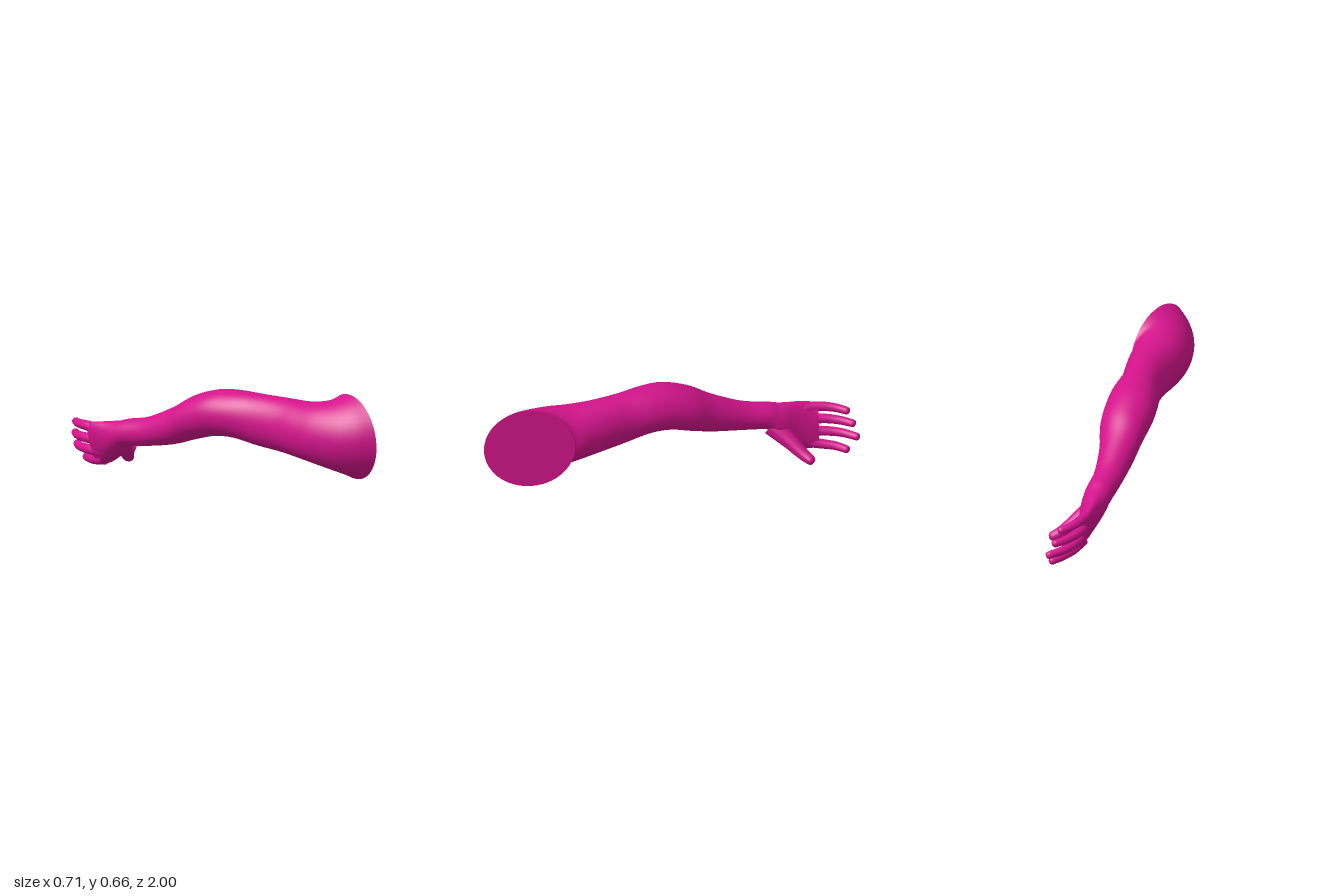
import * as THREE from 'three';

const skin = new THREE.MeshStandardMaterial({ color: 0xd4148c, side: THREE.DoubleSide });

// Arm cross-sections from knuckles to shoulder:
// left edge x, z | right edge x, z | top y, bottom y | sideways lean of the top
const sections = [
  [-0.315, -0.785, -0.28, -0.785, 0.25, 0.035, -0.025],
  [-0.338, -0.74, -0.262, -0.74, 0.268, 0.028, -0.034],
  [-0.337, -0.68, -0.232, -0.68, 0.28, 0.05, -0.032],
  [-0.333, -0.62, -0.195, -0.62, 0.292, 0.09, -0.02],
  [-0.325, -0.56, -0.175, -0.575, 0.303, 0.135, -0.01],
  [-0.31, -0.5, -0.165, -0.53, 0.322, 0.175, 0],
  [-0.27, -0.36, -0.125, -0.41, 0.357, 0.2, 0],
  [-0.23, -0.2, -0.04, -0.25, 0.44, 0.237, 0],
  [-0.2, -0.08, 0.045, -0.13, 0.522, 0.283, 0],
  [-0.16, 0.06, 0.1, -0.01, 0.573, 0.325, 0],
  [-0.1, 0.18, 0.145, 0.1, 0.587, 0.335, 0],
  [-0.02, 0.31, 0.19, 0.23, 0.588, 0.313, 0],
  [0.04, 0.46, 0.26, 0.36, 0.589, 0.3, 0],
  [0.07, 0.6, 0.315, 0.46, 0.592, 0.287, 0],
  [0.11, 0.73, 0.33, 0.5, 0.604, 0.275, 0],
  [0.18, 0.86, 0.334, 0.515, 0.62, 0.256, 0],
  [0.26, 0.945, 0.337, 0.52, 0.64, 0.235, -0.003],
  [0.345, 1.0, 0.338, 0.522, 0.66, 0.21, -0.006],
];

const curveOf = (pick) => new THREE.CatmullRomCurve3(
  sections.map((s) => new THREE.Vector3(...pick(s))), false, 'catmullrom', 0.5);

function geometryFrom(points, index) {
  const g = new THREE.BufferGeometry();
  g.setAttribute('position', new THREE.Float32BufferAttribute(points, 3));
  g.setIndex(index);
  g.computeVertexNormals();
  return g;
}

// Ring of points around one interpolated cross-section
const AROUND = 40;
const leftEdge = curveOf((s) => [s[0], 0, s[1]]);
const rightEdge = curveOf((s) => [s[2], 0, s[3]]);
const heights = curveOf((s) => [s[4], s[5], s[6]]);
function ringAt(t) {
  const l = leftEdge.getPoint(t), r = rightEdge.getPoint(t), h = heights.getPoint(t);
  const points = [];
  for (let j = 0; j < AROUND; j++) {
    const a = (j / AROUND) * Math.PI * 2, c = Math.cos(a), s = Math.sin(a);
    points.push(
      (l.x + r.x) / 2 + (c * (r.x - l.x)) / 2 + s * h.z,
      (h.x + h.y) / 2 + (s * (h.x - h.y)) / 2,
      (l.z + r.z) / 2 + (c * (r.z - l.z)) / 2);
  }
  return points;
}

function armSkin() {
  const STEPS = 102, points = [], index = [];
  for (let i = 0; i <= STEPS; i++) points.push(...ringAt(i / STEPS));
  for (let i = 0; i < STEPS; i++) {
    for (let j = 0; j < AROUND; j++) {
      const k = (j + 1) % AROUND;
      const a = i * AROUND + j, b = i * AROUND + k;
      index.push(a, b, a + AROUND, b, b + AROUND, a + AROUND);
    }
  }
  return geometryFrom(points, index);
}

// Flat fan closing one end of the arm
function endCap(t, flip) {
  const points = ringAt(t), index = [];
  for (let j = 1; j < AROUND - 1; j++) index.push(0, flip ? j + 1 : j, flip ? j : j + 1);
  return geometryFrom(points, index);
}

// Tube that narrows from r0 to r1 and ends in a round tip
function digit(path, r0, r1) {
  const STEPS = 48, SIDES = 16;
  const curve = new THREE.CatmullRomCurve3(path.map((p) => new THREE.Vector3(...p)));
  const g = new THREE.TubeGeometry(curve, STEPS, 1, SIDES, false);
  const pos = g.attributes.position, v = new THREE.Vector3();
  const tip = r1 / curve.getLength();
  for (let i = 0; i < pos.count; i++) {
    // rows bunch up towards the tip so that it stays round
    const t = Math.floor(i / (SIDES + 1)) / STEPS;
    const u = Math.max(0, (t - 1 + tip) / tip);
    const radius = (r0 + (r1 - r0) * t) * Math.sqrt(Math.max(0, 1 - u * u));
    const c = curve.getPointAt(t);
    v.fromBufferAttribute(pos, i).sub(c).multiplyScalar(radius).add(c);
    pos.setXYZ(i, v.x, v.y, v.z);
  }
  g.computeVertexNormals();
  return g;
}

export function createModel() {
  const model = new THREE.Group();
  model.name = 'arm';
  const add = (name, geometry) => {
    const mesh = new THREE.Mesh(geometry, skin);
    mesh.name = name;
    model.add(mesh);
  };

  add('armAndPalm', armSkin());
  add('shoulderCut', endCap(1, false));
  add('knuckleEnd', endCap(0, true));

  // Fingers, lowest to highest, each bending towards the palm
  const fingers = {
    indexFinger: [[-0.275, 0.065, -0.70], [-0.278, 0.045, -0.79], [-0.268, 0.035, -0.87], [-0.238, 0.022, -0.945]],
    middleFinger: [[-0.29, 0.11, -0.70], [-0.31, 0.103, -0.80], [-0.302, 0.095, -0.90], [-0.26, 0.085, -1.0]],
    ringFinger: [[-0.305, 0.172, -0.70], [-0.327, 0.168, -0.80], [-0.32, 0.16, -0.89], [-0.285, 0.152, -0.98]],
    littleFinger: [[-0.315, 0.235, -0.70], [-0.334, 0.238, -0.78], [-0.33, 0.23, -0.87], [-0.3, 0.22, -0.95]],
  };
  for (const [name, path] of Object.entries(fingers)) add(name, digit(path, 0.029, 0.02));

  add('thumb', digit(
    [[-0.235, 0.19, -0.54], [-0.185, 0.125, -0.625], [-0.135, 0.07, -0.695], [-0.09, 0.04, -0.75]],
    0.056, 0.024));

  return model;
}
